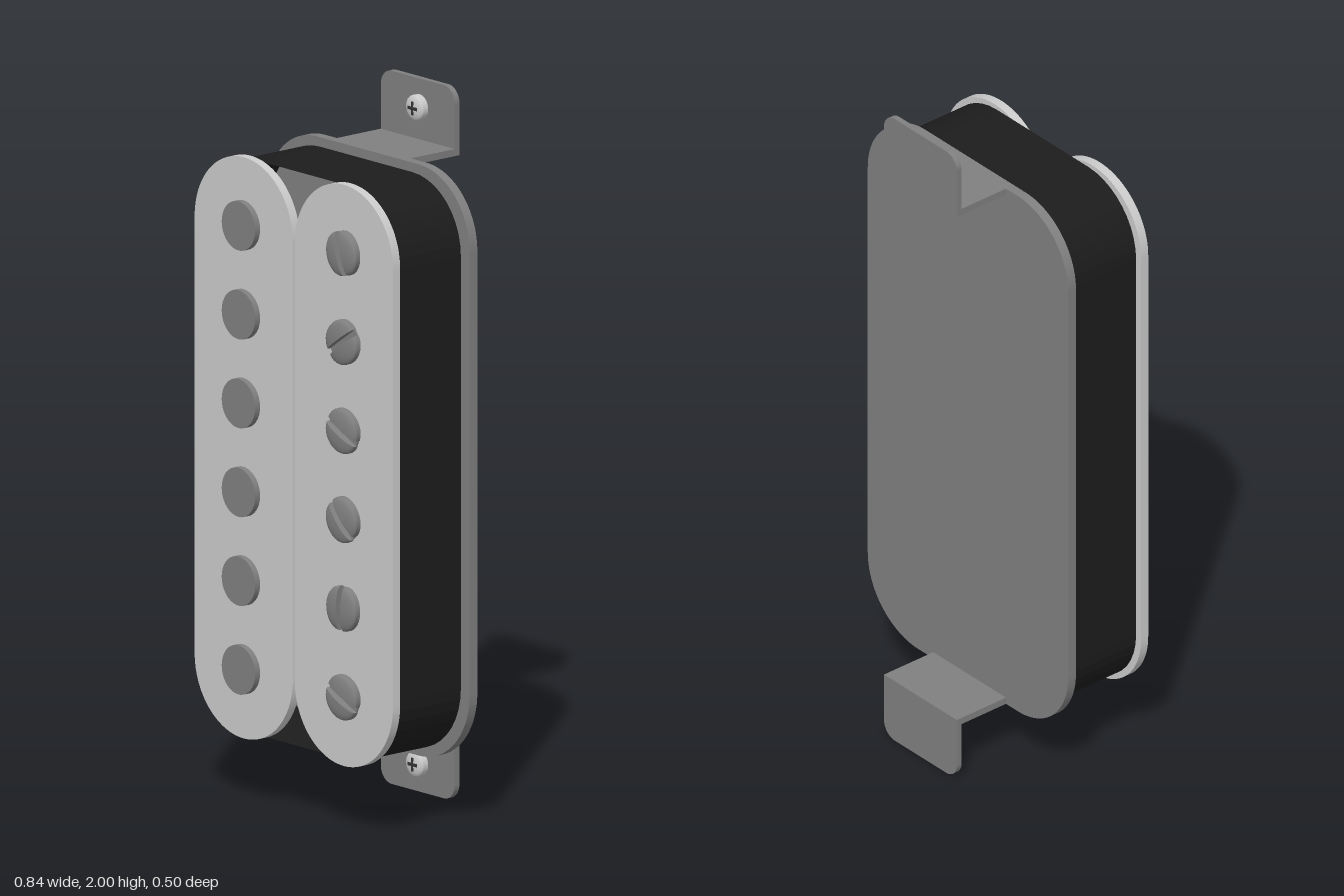
import * as THREE from 'three';

const grey = (color) => new THREE.MeshStandardMaterial({ color, side: THREE.DoubleSide });
const lightMat = grey(0xcccccc);
const metalMat = grey(0x808080);
const darkMat = grey(0x333333);
const tapeMat = new THREE.MeshStandardMaterial({ color: 0x1c1c1c, side: THREE.DoubleSide, flatShading: true });

function add(parent, name, geometry, material, x = 0, y = 0, z = 0) {
  const mesh = new THREE.Mesh(geometry, material);
  mesh.name = name;
  mesh.position.set(x, y, z);
  parent.add(mesh);
  return mesh;
}

// Rounded rectangle centred on the origin, with separate top and bottom radii
function roundedRect(w, h, rTop, rBottom = rTop) {
  const s = new THREE.Shape();
  const x = w / 2, y = h / 2;
  s.moveTo(-x + rBottom, -y);
  s.lineTo(x - rBottom, -y);
  if (rBottom) s.absarc(x - rBottom, -y + rBottom, rBottom, -Math.PI / 2, 0);
  s.lineTo(x, y - rTop);
  s.absarc(x - rTop, y - rTop, rTop, 0, Math.PI / 2);
  s.lineTo(-x + rTop, y);
  s.absarc(-x + rTop, y - rTop, rTop, Math.PI / 2, Math.PI);
  s.lineTo(-x, -y + rBottom);
  if (rBottom) s.absarc(-x + rBottom, -y + rBottom, rBottom, Math.PI, Math.PI * 1.5);
  return s;
}

const slab = (shape, depth, curveSegments = 20) =>
  new THREE.ExtrudeGeometry(shape, { depth, bevelEnabled: false, curveSegments });

// Open band that follows an outline from z0 to z1
function band(shape, z0, z1, segments) {
  const pts = shape.getPoints(segments);
  const pos = [];
  pts.forEach((a, i) => {
    const b = pts[(i + 1) % pts.length];
    if (a.distanceTo(b) < 1e-5) return;
    pos.push(a.x, a.y, z0, b.x, b.y, z0, b.x, b.y, z1);
    pos.push(a.x, a.y, z0, b.x, b.y, z1, a.x, a.y, z1);
  });
  const g = new THREE.BufferGeometry();
  g.setAttribute('position', new THREE.Float32BufferAttribute(pos, 3));
  g.computeVertexNormals();
  return g;
}

// Screw head profile: straight rim, then a shallow dome
function domeProfile(r, rim, height) {
  const pts = [new THREE.Vector2(r, 0), new THREE.Vector2(r, rim)];
  for (let i = 1; i <= 6; i++) {
    const a = (i / 6) * Math.PI / 2;
    pts.push(new THREE.Vector2(r * Math.cos(a), rim + (height - rim) * Math.sin(a)));
  }
  return pts;
}

// Slotted pole screw: two half domes kept apart by the slot
function poleScrew(angle) {
  const r = 0.062, slot = 0.009, floor = 0.045, height = 0.067;
  const g = new THREE.Group();
  g.name = 'poleScrew';
  const profile = domeProfile(r, 0.052, height);
  const half = new THREE.LatheGeometry(profile, 16, 0, Math.PI).rotateX(Math.PI / 2);
  const p = half.attributes.position;
  for (let i = 0; i < p.count; i++) p.setX(i, slot + p.getX(i) * (r - slot) / r);
  const wallShape = new THREE.Shape([
    ...profile, ...profile.slice(0, -1).reverse().map((v) => new THREE.Vector2(-v.x, v.y)),
  ]);
  const wall = new THREE.ShapeGeometry(wallShape).applyMatrix4(new THREE.Matrix4().makeBasis(
    new THREE.Vector3(0, 1, 0), new THREE.Vector3(0, 0, 1), new THREE.Vector3(1, 0, 0)));
  for (const turn of [0, Math.PI]) {
    const side = new THREE.Group();
    side.name = 'screwHeadHalf';
    side.rotation.z = turn;
    add(side, 'dome', half, metalMat);
    add(side, 'slotWall', wall, metalMat, slot);
    g.add(side);
  }
  add(g, 'slotFloor', new THREE.CylinderGeometry(r * 0.98, r * 0.98, floor, 32).rotateX(Math.PI / 2),
    metalMat, 0, 0, floor / 2);
  g.rotation.z = angle - Math.PI / 2;
  return g;
}

// Small cross-head screw
function mountingScrew() {
  const g = new THREE.Group();
  g.name = 'mountingScrew';
  add(g, 'head', new THREE.LatheGeometry(domeProfile(0.036, 0.016, 0.028), 28).rotateX(Math.PI / 2), lightMat);
  for (const turn of [0, Math.PI / 2]) {
    add(g, 'crossRecess', new THREE.BoxGeometry(0.038, 0.009, 0.006), darkMat, 0, 0, 0.0255).rotation.z = turn;
  }
  return g;
}

// Stepped mounting foot for the upper end: shelf, upright tab and screw
function mountingFoot() {
  const g = new THREE.Group();
  g.name = 'mountingFoot';
  add(g, 'shelf', new THREE.BoxGeometry(0.305, 0.02, 0.19), metalMat, -0.007, 0.819, -0.155);
  add(g, 'tab', slab(roundedRect(0.305, 0.191, 0.045, 0), 0.017), metalMat, -0.007, 0.9045, -0.251);
  const screw = mountingScrew();
  screw.position.set(0, 0.92, -0.235);
  g.add(screw);
  return g;
}

export function createModel() {
  const model = new THREE.Group();
  model.name = 'pickup';
  const body = new THREE.Group();
  body.name = 'body';
  body.position.y = 1;
  model.add(body);

  // Base plate and the tape wrapped around the coils
  add(body, 'basePlate', slab(roundedRect(0.84, 1.658, 0.21), 0.028), metalMat, 0, 0, -0.075);
  add(body, 'coilTape', band(roundedRect(0.784, 1.61, 0.2), -0.04, 0.192, 5), tapeMat);

  // Mounting feet, the lower one turned over
  for (const turn of [0, Math.PI]) {
    const foot = mountingFoot();
    foot.rotation.z = turn;
    if (turn) foot.children[0].position.x = foot.children[1].position.x = 0.007;
    body.add(foot);
  }

  // Bobbin tops
  for (const side of [-1, 1]) {
    add(body, 'bobbinTop', slab(roundedRect(0.405, 1.63, 0.2024), 0.026, 28), lightMat, side * 0.2065, 0, 0.195);
  }

  // Plain poles on one bobbin, slotted screws on the other, from top to bottom
  const slotAngles = [105, 35, -25, -47, 88, -25];
  const slug = new THREE.CylinderGeometry(0.069, 0.069, 0.06, 36).rotateX(Math.PI / 2);
  slotAngles.forEach((deg, i) => {
    const y = 0.625 - i * 0.249;
    add(body, 'polePiece', slug, metalMat, -0.208, y, 0.209);
    const screw = poleScrew(THREE.MathUtils.degToRad(deg));
    screw.position.set(0.212, y, 0.181);
    body.add(screw);
  });
  return model;
}
